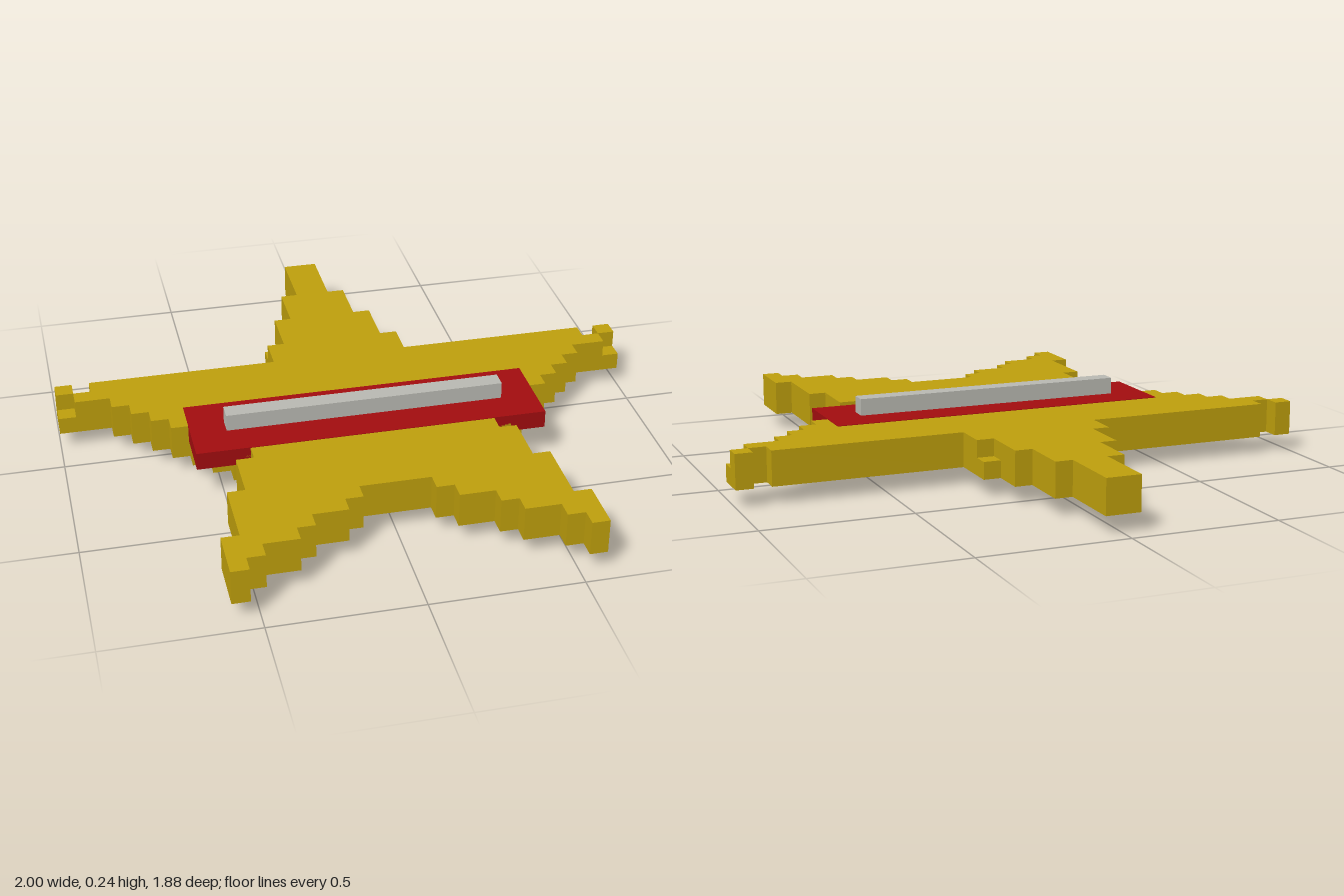
import * as THREE from 'three';

const U = 2 / 34; // one block of the stepped grid

const gold = new THREE.MeshStandardMaterial({ color: 0xbfa00d });
gold.name = 'gold';
const red = new THREE.MeshStandardMaterial({ color: 0xa30d0f });
red.name = 'red enamel';
const silver = new THREE.MeshStandardMaterial({ color: 0xbabab3 });
silver.name = 'silver';

// Box given by its corner ranges in blocks
function block(name, material, [x0, x1], [y0, y1], [z0, z1]) {
  const geometry = new THREE.BoxGeometry((x1 - x0) * U, (y1 - y0) * U, (z1 - z0) * U);
  const mesh = new THREE.Mesh(geometry, material);
  mesh.position.set((x0 + x1) / 2 * U, (y0 + y1) / 2 * U, (z0 + z1) / 2 * U);
  mesh.name = name;
  return mesh;
}

// Stepped outline of the star's left half: [half width, z where that step ends]
const outerSteps = [
  [1, -12], [2, -9], [3, -6], [4, -4], [15, -3], [16, -2], [14, -1], [13, 0], [12, 1],
  [11, 2], [10, 3], [9, 4], [8, 5], [7, 6], [8, 9], [9, 13], [10, 16],
];
// Gap between the two legs, from the feet back up to the crotch
const innerSteps = [[9, 15], [8, 14], [6, 13], [5, 12], [3, 11], [2, 10]];

function starBody() {
  const half = [];
  let z = -16;
  for (const [x, end] of outerSteps) {
    half.push([x, z], [x, end]);
    z = end;
  }
  for (const [x, end] of innerSteps) {
    half.push([x, z], [x, end]);
    z = end;
  }
  const mirrored = half.map(([x, pz]) => [-x, pz]).reverse();
  const points = [...half, ...mirrored].map(([x, pz]) => new THREE.Vector2(x * U, -pz * U));
  const geometry = new THREE.ExtrudeGeometry(new THREE.Shape(points), { depth: 2 * U, bevelEnabled: false });
  geometry.rotateX(-Math.PI / 2);
  const mesh = new THREE.Mesh(geometry, gold);
  mesh.position.y = U;
  mesh.name = 'starBody';
  return mesh;
}

export function createModel() {
  const group = new THREE.Group();
  group.name = 'starBadge';
  group.add(starBody());

  // Odd blocks at the arm tips and beside the top point
  for (const side of [-1, 1]) {
    const span = (a, b) => (side > 0 ? [a, b] : [-b, -a]);
    group.add(
      block('armTip', gold, span(16, 17), [1, 3], [-4, -3]),
      block('armTipLower', gold, span(16, 17), [1, 2], [-3, -2]),
      block('pointStep', gold, span(3, 4), [1, 2], [-7, -6]),
    );
  }

  // Inlaid banner, a hair proud of the star so the faces do not coincide
  const e = 0.03;
  group.add(block('banner', red, [-10 - e, 10 + e], [2, 3 + e], [0, 5]));

  // Raised bar on the face and clasp underneath
  group.add(block('faceBar', silver, [-8, 8], [3, 4], [2, 3]));
  group.add(block('backClasp', silver, [-6, 6], [0, 1], [1, 3]));
  return group;
}
